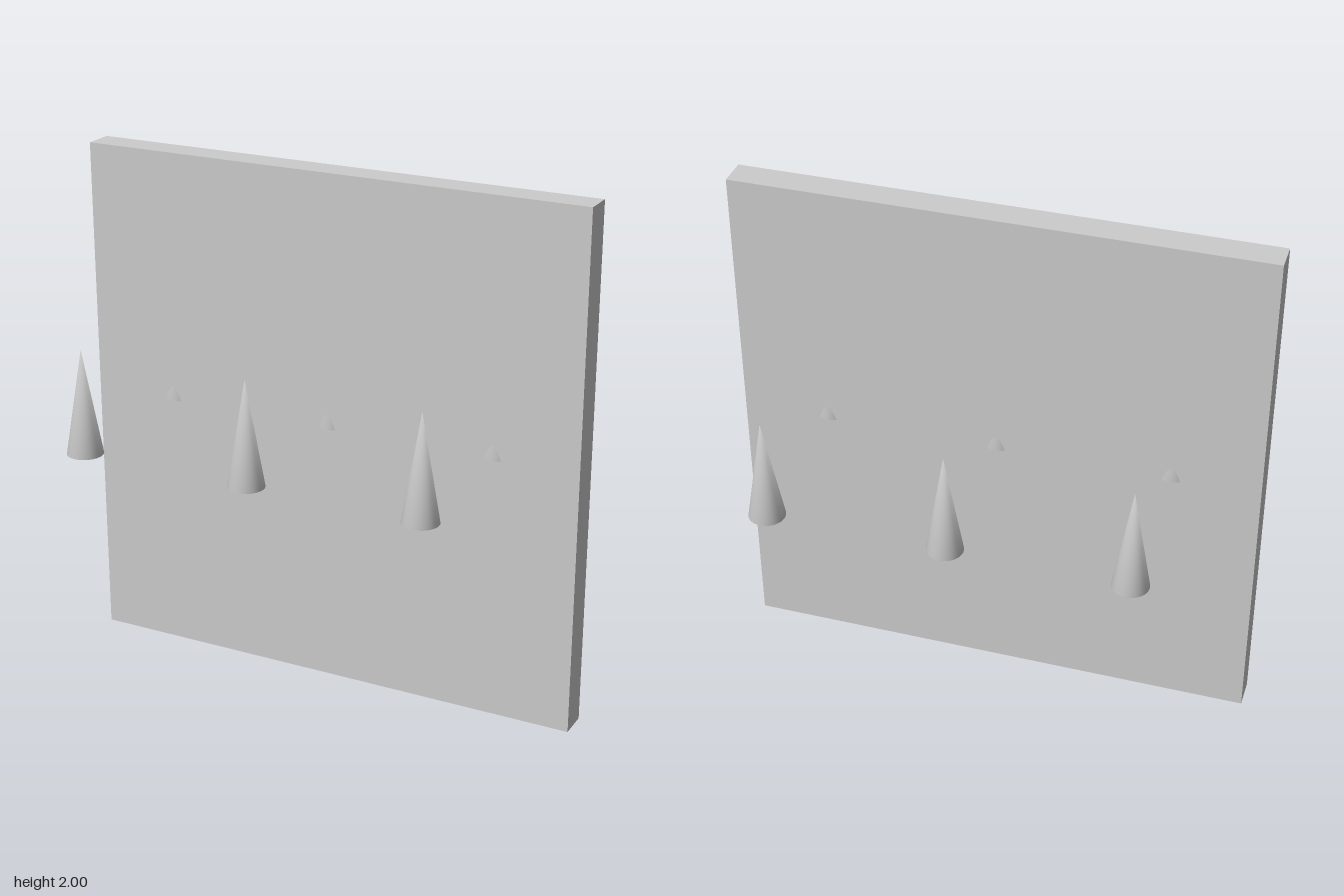
import * as THREE from 'three';
import { mergeVertices } from 'three/addons/utils/BufferGeometryUtils.js';

export function createModel() {
  const model = new THREE.Group();
  const grey = new THREE.MeshStandardMaterial({ color: 0xcccccc });

  // Upright square slab
  const slab = new THREE.Mesh(new THREE.BoxGeometry(2, 2, 0.115), grey);
  slab.name = 'slab';
  slab.position.y = 1;
  model.add(slab);

  // Closed cone with normals smoothed across the base rim and the tip
  const cone = new THREE.ConeGeometry(0.067, 0.395, 32);
  cone.deleteAttribute('uv');
  cone.deleteAttribute('normal');
  const spikeGeometry = mergeVertices(cone);
  spikeGeometry.computeVertexNormals();

  // Three by three grid of spikes; the middle row pierces the slab
  const spikes = new THREE.Group();
  spikes.name = 'spikes';
  const spacing = 0.666;
  for (const row of [-1, 0, 1]) {
    for (const column of [-1, 0, 1]) {
      const spike = new THREE.Mesh(spikeGeometry, grey);
      spike.name = 'spike';
      spike.position.set(column * spacing, 1.222, row * spacing);
      spikes.add(spike);
    }
  }
  model.add(spikes);
  return model;
}
